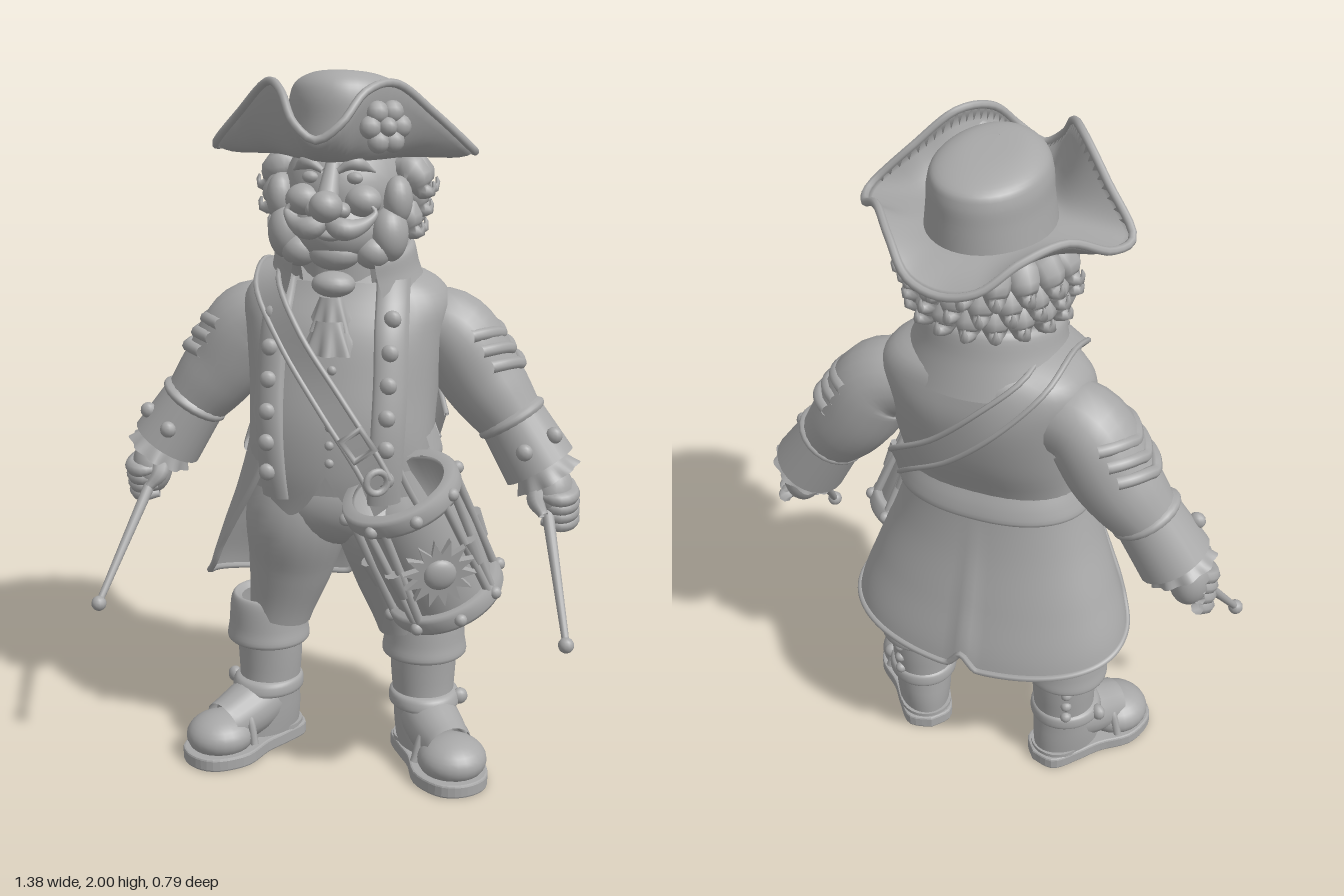
import * as THREE from 'three';
import { mergeVertices } from 'three/addons/utils/BufferGeometryUtils.js';
import { ParametricGeometry } from 'three/addons/geometries/ParametricGeometry.js';

const clay = new THREE.MeshStandardMaterial({ color: 0xa8a8a8, side: THREE.DoubleSide });
clay.name = 'clay grey';
const { sin, cos, PI, abs, sign, min, floor, max } = Math;
const V = (x, y, z) => new THREE.Vector3(x, y, z);

function add(parent, name, geo, pos = [0, 0, 0]) {
  const m = new THREE.Mesh(geo, clay);
  m.name = name;
  m.position.set(...pos);
  parent.add(m);
  return m;
}
function smooth(geo) {
  geo.deleteAttribute('uv');
  geo.deleteAttribute('normal');
  const g = mergeVertices(geo, 1e-5);
  g.computeVertexNormals();
  return g;
}
// surface from a rule (u, v) -> [x, y, z]
const surface = (fn, nu, nv) => smooth(new ParametricGeometry((u, v, t) => t.set(...fn(u, v)), nu, nv));
// ellipsoid, finer when large
function ball(parent, name, pos, scale) {
  const n = max(...scale) > 0.07 ? 24 : max(...scale) > 0.03 ? 18 : 12;
  add(parent, name, new THREE.SphereGeometry(1, n, n * 2 / 3), pos).scale.set(...scale);
}

// smooth interpolation through a list of rows
const cr = (a, b, c, d, t) => b + 0.5 * t * (c - a + t * (2 * a - 5 * b + 4 * c - d + t * (3 * (b - c) + d - a)));
function rowAt(rows, t) {
  const n = rows.length, f = t * (n - 1), i = min(floor(f), n - 2);
  const at = k => rows[max(0, min(n - 1, k))];
  return rows[0].map((_, k) => cr(at(i - 1)[k], at(i)[k], at(i + 1)[k], at(i + 2)[k], f - i));
}
// point on an oval section [y, halfWidth, zFront, zBack]; angle 0 faces front
function oval([y, w, zf, zb], a, p = 2) {
  const s = sin(a), c = cos(a), e = 2 / p;
  return [w * sign(s) * abs(s) ** e, y, (zf + zb) / 2 + (zf - zb) / 2 * sign(c) * abs(c) ** e];
}
const loft = (rows, gap = 0, p = 2, nv = 24) =>
  surface((u, v) => oval(rowAt(rows, v), gap + u * (2 * PI - 2 * gap), p), 40, nv);

// round limb along points with a list of radii
function limb(pts, radii, n = 20, sides = 12) {
  const curve = new THREE.CatmullRomCurve3(pts.map(p => V(...p)));
  const g = new THREE.TubeGeometry(curve, n, 1, sides);
  const pos = g.attributes.position, q = V(), c = V(), rr = radii.map(r => [r]);
  for (let i = 0; i <= n; i++) {
    curve.getPointAt(i / n, c);
    const r = radii.length > 1 ? max(0.0005, rowAt(rr, i / n)[0]) : radii[0];
    for (let j = 0; j <= sides; j++) {
      const k = i * (sides + 1) + j;
      q.fromBufferAttribute(pos, k).sub(c).multiplyScalar(r).add(c);
      pos.setXYZ(k, q.x, q.y, q.z);
    }
  }
  return smooth(g);
}
// tapered cylinder from a to b
function rod(parent, name, a, b, ra, rb, sides = 24) {
  const A = V(...a), B = V(...b), d = B.clone().sub(A);
  const m = add(parent, name, new THREE.CylinderGeometry(rb, ra, d.length(), sides), A.clone().add(B).multiplyScalar(0.5).toArray());
  m.quaternion.setFromUnitVectors(V(0, 1, 0), d.normalize());
}

function hat(g) {
  const crown = [[1.78, 0.165, 0.12, -0.26], [1.86, 0.155, 0.11, -0.258], [1.925, 0.15, 0.105, -0.255], [1.965, 0.132, 0.085, -0.235],
    [1.99, 0.08, 0.04, -0.15], [1.996, 0.001, -0.02, -0.022]];
  add(g, 'hatCrown', surface((u, v) => {
    const [x, y, z] = oval(rowAt(crown, v), u * 2 * PI);
    return [x, y + 0.16 * z * v, z];
  }, 40, 24));
  const half = [[0, 1.84, 0.28], [0.06, 1.88, 0.265], [0.11, 1.955, 0.2], [0.17, 1.97, 0.11], [0.26, 1.89, 0.04], [0.355, 1.79, -0.03],
    [0.33, 1.79, -0.11], [0.25, 1.84, -0.2], [0.17, 1.82, -0.3], [0.09, 1.76, -0.37], [0, 1.74, -0.385]];
  const edge = new THREE.CatmullRomCurve3([...half, ...half.slice(1, -1).reverse().map(([x, y, z]) => [-x, y, z])].map(p => V(...p)), true);
  add(g, 'hatBrim', surface((u, v) => {
    const e = edge.getPoint(u % 1), a = Math.atan2(e.x, e.z + 0.07), s = 1 - abs(v * 2 - 1);
    const [x, , z] = oval([0, 0.14, 0.1, -0.23], a);
    return [x + (e.x - x) * s, 1.79 + (e.y - 1.79) * s ** 2.2 - (v > 0.5 ? 0.022 * (1 - s ** 8) : 0), z + (e.z - z) * s];
  }, 100, 20));
  add(g, 'hatEdge', new THREE.TubeGeometry(edge, 100, 0.011, 8, true));
  const rosette = new THREE.Group();
  rosette.name = 'rosette';
  rosette.position.set(0.152, 1.865, 0.155);
  rosette.lookAt(0.8, 1.95, 1);
  for (let i = 0; i < 6; i++) ball(rosette, 'petal', [0.042 * cos(i * PI / 3), 0.042 * sin(i * PI / 3), 0], [0.03, 0.03, 0.025]);
  ball(rosette, 'rosetteButton', [0, 0, 0.012], [0.025, 0.025, 0.025]);
  g.add(rosette);
}

function head(g) {
  ball(g, 'skull', [0, 1.68, -0.07], [0.165, 0.165, 0.18]);
  ball(g, 'jaw', [0, 1.58, 0.01], [0.125, 0.1, 0.12]);
  ball(g, 'chin', [0, 1.52, 0.07], [0.07, 0.045, 0.05]);
  ball(g, 'lowerLip', [0, 1.577, 0.125], [0.035, 0.015, 0.02]);
  ball(g, 'nose', [0, 1.66, 0.175], [0.045, 0.042, 0.045]);
  add(g, 'noseBridge', limb([[0, 1.76, 0.09], [0, 1.71, 0.13], [0, 1.67, 0.16]], [0.02, 0.025, 0.03]));
  rod(g, 'neck', [0, 1.38, -0.08], [0, 1.6, -0.06], 0.13, 0.12);
  for (const s of [-1, 1]) {
    ball(g, 'nostril', [s * 0.037, 1.648, 0.15], [0.024, 0.022, 0.028]);
    ball(g, 'cheek', [s * 0.08, 1.665, 0.085], [0.05, 0.042, 0.045]);
    ball(g, 'eye', [s * 0.06, 1.725, 0.095], [0.022, 0.016, 0.014]);
    add(g, 'eyebrow', limb([[s * 0.02, 1.745, 0.12], [s * 0.06, 1.765, 0.11], [s * 0.11, 1.74, 0.07]], [0.008, 0.018, 0.003]));
    add(g, 'moustache', limb([[0, 1.625, 0.16], [s * 0.045, 1.602, 0.172], [s * 0.09, 1.61, 0.145], [s * 0.12, 1.64, 0.115], [s * 0.105, 1.66, 0.115]],
      [0.018, 0.03, 0.023, 0.012, 0.004]));
    ball(g, 'whisker', [s * 0.14, 1.57, 0.03], [0.052, 0.075, 0.062]);
    ball(g, 'whiskerTop', [s * 0.16, 1.66, 0.015], [0.04, 0.065, 0.05]);
    ball(g, 'whiskerBase', [s * 0.1, 1.525, 0.055], [0.05, 0.045, 0.045]);
  }
  // curled locks in rings round the sides and back
  for (let r = 0; r < 3; r++) for (let i = 0; i < 10; i++) {
    const a = 1.45 + (i + (r % 2) * 0.5) * (2 * PI - 2.9) / 9.5, y = 1.715 - r * 0.055, k = 1 - r * 0.06;
    const p = (d, h) => [sin(a) * (0.185 + d) * k, y + h, -0.07 + cos(a) * (0.185 + d) * k];
    add(g, 'hairCurl', limb([p(-0.05, 0.02), p(0.01, 0.01), p(0.03, -0.035), p(0.065, -0.035), p(0.062, -0.01)],
      [0.025, 0.045, 0.037, 0.018, 0.003], 12, 8));
  }
}

const frontZ = (x, y) => rowAt([[0.17], [0.19], [0.19], [0.165], [0.13], [0.06]], max(0, min(1, (y - 0.8) / 0.65)))[0] - 1.2 * x * x;

function coat(g) {
  add(g, 'coatBody', loft([[0.86, 0.265, 0.15, -0.18], [1, 0.26, 0.165, -0.2], [1.14, 0.265, 0.15, -0.255], [1.28, 0.28, 0.12, -0.285],
    [1.37, 0.29, 0.08, -0.28], [1.43, 0.245, 0.05, -0.26], [1.47, 0.15, 0.01, -0.2]], 0, 2.4));
  const hem = u => 0.46 + 0.1 * abs(2 * u - 1) ** 1.6 + 0.04 * abs(2 * u - 1) ** 16 + 0.05 * Math.exp(-(((u - 0.5) / 0.012) ** 2));
  const skirt = (u, v) => {
    const row = rowAt([[0, 0.258, 0.16, -0.195], [0, 0.3, 0.16, -0.22], [0, 0.36, 0.15, -0.265], [0, 0.41, 0.14, -0.31]], v);
    const gap = 0.66 + 0.42 * v, [x, , z] = oval(row, gap + u * (2 * PI - 2 * gap), 2.2);
    return [x, 1.01 + (hem(u) - 1.01) * v, z];
  };
  add(g, 'coatSkirt', surface(skirt, 100, 20));
  const rim = [];
  for (let i = 0; i <= 8; i++) rim.push(V(...skirt(0, i / 8)));
  for (let i = 1; i < 100; i++) rim.push(V(...skirt(i / 100, 1)));
  for (let i = 8; i >= 0; i--) rim.push(V(...skirt(1, i / 8)));
  add(g, 'skirtHem', new THREE.TubeGeometry(new THREE.CatmullRomCurve3(rim), 180, 0.01, 6));
  add(g, 'waistSeam', loft([[1.03, 0.258, 0.16, -0.21], [0.99, 0.272, 0.165, -0.225], [0.95, 0.282, 0.165, -0.23], [0.94, 0.26, 0.16, -0.2]], 1.25, 2.3, 12));
  // stand collar: inside, folded top, then flaring on to the shoulders; last column lifts the back
  const collar = [[1.42, 0.165, 0.05, -0.2, 0], [1.49, 0.165, 0.1, -0.215, 0.06], [1.495, 0.19, 0.12, -0.245, 0.06], [1.45, 0.205, 0.115, -0.262, 0.03], [1.385, 0.24, 0.11, -0.29, 0]];
  add(g, 'collar', surface((u, v) => {
    const a = 0.62 + u * (2 * PI - 1.24), row = rowAt(collar, v), [x, y, z] = oval(row, a);
    return [x, y + row[4] * (1 - cos(a)) / 2, z];
  }, 40, 20));
  // waistcoat with two points at the bottom
  add(g, 'waistcoat', surface((u, v) => {
    const x = (u * 2 - 1) * 0.165, low = 0.93 - 0.13 * sin(min(1, abs(x) / 0.115) * PI / 2) + max(0, abs(x) - 0.115) * 0.8;
    const y = 1.44 + (low - 1.44) * v;
    return [x, y, frontZ(x, y)];
  }, 30, 24));
  for (let i = 0; i < 6; i++) ball(g, 'waistcoatButton', [0.012, 1.22 - i * 0.05, frontZ(0, 1.22 - i * 0.05)], [0.013, 0.013, 0.01]);
  for (const s of [-1, 1]) {
    add(g, 'lapel', surface((u, v) => {
      const x = 0.115 + u * 0.09, y = 1.45 - v * 0.6;
      return [s * (x + 0.015 * sin(v * PI) - 0.01), y, frontZ(x, y) - 0.008 + 0.028 * abs(sin(u * PI)) ** 0.4];
    }, 16, 20));
    for (let i = 0; i < 6; i++) {
      const y = 1.355 - i * 0.085;
      ball(g, 'coatButton', [s * 0.165, y, frontZ(0.165, y) + 0.022], [0.024, 0.024, 0.017]);
    }
  }
  // ruffled neckcloth
  ball(g, 'neckclothKnot', [0, 1.44, 0.085], [0.06, 0.035, 0.05]);
  for (const [y, w, z] of [[1.41, 0.065, 0.105], [1.35, 0.075, 0.13]])
    add(g, 'neckclothFrill', surface((u, v) => {
      const a = (u * 2 - 1) * 1.5, k = 0.5 + 0.5 * v, r = 1 + 0.14 * v * cos(a * 8);
      return [sin(a) * w * k * r, y - 0.09 * v, z + 0.045 * cos(a) * k * r];
    }, 40, 6));
}

function arm(g, s) {
  const P = (x, y, z) => [s * x, y, z];
  add(g, 'sleeve', limb([P(0.18, 1.3, -0.13), P(0.285, 1.28, -0.135), P(0.375, 1.15, -0.14), P(0.5, 0.99, -0.125)], [0.1, 0.12, 0.112, 0.085], 24, 20));
  // three chevrons wrapped round the upper sleeve
  for (let i = 0; i < 3; i++) {
    const pts = [];
    for (let k = -4; k <= 4; k++) {
      const a = k * 0.25, down = 0.045 + i * 0.05 - abs(k) * 0.011, r = 0.117;
      pts.push(P(0.305 + down * 0.56 + cos(a) * r * 0.83, 1.25 - down * 0.83 + cos(a) * r * 0.56, -0.138 + sin(a) * r));
    }
    add(g, 'chevron', limb(pts, [0.018], 24, 8));
  }
  rod(g, 'cuff', P(0.46, 1.045, -0.128), P(0.55, 0.905, -0.118), 0.094, 0.106);
  add(g, 'cuffRim', limb([P(0.455, 1.053, -0.128), P(0.475, 1.022, -0.126)], [0.09, 0.102, 0.102, 0.09], 6, 24));
  ball(g, 'cuffButton', P(0.515, 0.97, -0.02), [0.024, 0.024, 0.02]);
  ball(g, 'cuffButton', P(0.59, 1.01, -0.07), [0.024, 0.024, 0.02]);
  add(g, 'wristRuffle', surface((u, v) => {
    const a = u * 2 * PI, r = (0.07 + 0.027 * v) * (1 + 0.06 * v * cos(a * 9));
    return [cos(a) * r, -0.05 * v, sin(a) * r * 0.95];
  }, 72, 4), P(0.55, 0.915, -0.113)).rotation.z = s * 0.55;
  // fist round the stick
  ball(g, 'hand', P(0.592, 0.835, -0.095), [0.058, 0.085, 0.07]);
  for (let i = 0; i < 4; i++) {
    const y = 0.85 - i * 0.028, z = -0.042 - i * 0.01;
    add(g, 'finger', limb([P(0.632, y + 0.01, z - 0.075), P(0.647, y - 0.01, z - 0.03), P(0.612, y - 0.015, z + 0.01), P(0.565, y - 0.01, z)],
      [0.02, 0.022, 0.021, 0.012], 12, 8));
  }
  add(g, 'thumb', limb([P(0.56, 0.87, -0.075), P(0.55, 0.83, -0.035), P(0.575, 0.795, -0.01)], [0.022, 0.026, 0.014], 12, 8));
  rod(g, 'drumstick', P(0.57, 0.84, -0.08), P(0.663, 0.515, 0.185), 0.018, 0.01, 14);
  ball(g, 'drumstickTip', P(0.666, 0.503, 0.195), [0.022, 0.022, 0.022]);
}

function leg(g, s) {
  const P = (x, y, z) => [s * x, y, z];
  add(g, 'breeches', limb([P(0.11, 0.92, -0.03), P(0.13, 0.76, -0.03), P(0.155, 0.6, -0.05), P(0.195, 0.42, -0.055)], [0.13, 0.15, 0.125, 0.092], 20, 20));
  const boot = new THREE.Group();
  boot.name = 'boot';
  boot.position.set(s * 0.235, 0, -0.075);
  boot.rotation.y = s * 0.6;
  g.add(boot);
  add(boot, 'bootCuff', loft([[0.46, 0.08, 0.08, -0.08], [0.475, 0.1, 0.1, -0.098], [0.45, 0.112, 0.112, -0.108], [0.38, 0.118, 0.118, -0.115],
    [0.335, 0.122, 0.122, -0.118], [0.33, 0.09, 0.09, -0.09]]));
  add(boot, 'bootShaft', loft([[0.36, 0.098, 0.095, -0.098], [0.28, 0.095, 0.09, -0.098], [0.19, 0.088, 0.09, -0.093], [0.1, 0.083, 0.11, -0.098],
    [0.03, 0.075, 0.12, -0.095]], 0, 2, 12));
  add(boot, 'ankleStrap', loft([[0.215, 0.085, 0.085, -0.088], [0.205, 0.1, 0.105, -0.1], [0.175, 0.102, 0.115, -0.102], [0.165, 0.085, 0.1, -0.088]], 0, 2, 12));
  add(boot, 'instep', limb([[0, 0.15, 0], [0, 0.118, 0.09], [0, 0.095, 0.18]], [0.083, 0.083, 0.072], 12, 20));
  ball(boot, 'toeCap', [0.005 * s, 0.07, 0.19], [0.1, 0.066, 0.102]);
  add(boot, 'toeSeam', limb([[-0.092, 0.05, 0.14], [-0.06, 0.13, 0.135], [0, 0.15, 0.13], [0.06, 0.13, 0.135], [0.092, 0.05, 0.14]], [0.012], 20, 8));
  const outline = [[0, -0.108], [0.062, -0.08], [0.075, 0], [0.08, 0.08], [0.104, 0.18], [0.07, 0.272], [0, 0.3],
    [-0.07, 0.272], [-0.104, 0.18], [-0.08, 0.08], [-0.075, 0], [-0.062, -0.08], [0, -0.108]].map(p => new THREE.Vector2(...p));
  const sole = new THREE.Shape().moveTo(0, -0.108).splineThru(outline.slice(1));
  add(boot, 'sole', new THREE.ExtrudeGeometry(sole, { depth: 0.028, bevelSize: 0.006, bevelThickness: 0.006, bevelSegments: 2, curveSegments: 4 }),
    [0, 0.034, 0]).rotation.x = PI / 2;
  add(boot, 'heel', new THREE.CylinderGeometry(0.078, 0.078, 0.05, 24), [0, 0.026, -0.025]);
  for (let i = 0; i < 3; i++) ball(boot, 'bootButton', [s * 0.078, 0.31 - i * 0.045, -0.05], [0.017, 0.017, 0.017]);
  ball(boot, 'strapButton', [s * 0.09, 0.19, 0.06], [0.025, 0.025, 0.02]);
}

function drum(g) {
  const top = V(0.21, 0.93, 0.23), low = V(0.33, 0.59, 0.12), d = new THREE.Group();
  d.name = 'drum';
  d.position.copy(top).add(low).multiplyScalar(0.5);
  d.quaternion.setFromUnitVectors(V(0, 1, 0), top.clone().sub(low).normalize());
  g.add(d);
  const lathe = (name, pts) => add(d, name, new THREE.LatheGeometry(pts.map(p => new THREE.Vector2(...p)), 48));
  lathe('drumShell', [[0.001, -0.175], [0.13, -0.175], [0.14, -0.17], [0.146, 0], [0.14, 0.185], [0.127, 0.185], [0.127, 0.04], [0.001, 0.04]]);
  for (const y of [-0.168, 0.168])
    lathe('drumHoop', [[0.13, y - 0.027], [0.158, y - 0.027], [0.165, y - 0.015], [0.165, y + 0.015], [0.158, y + 0.027], [0.13, y + 0.027]]);
  const at = (a, r, y) => [sin(a) * r, y, cos(a) * r];
  const dir = V(0.05, 0, 0.135).applyQuaternion(d.quaternion.clone().invert());
  const sunAngle = Math.atan2(dir.x, dir.z);
  // rope tension pairs, leaving room for the sunburst
  for (let i = 0; i < 8; i++) {
    const a = sunAngle + i * PI / 4;
    for (const y of [-0.168, 0.168]) ball(d, 'hoopKnot', at(a, 0.164, y), [0.018, 0.018, 0.018]);
    if (i === 0) continue;
    for (const k of [-0.17, 0.17]) rod(d, 'drumRope', at(a + k, 0.152, 0.15), at(a + k * 0.35, 0.152, -0.15), 0.012, 0.012, 8);
    rod(d, 'ropeSlide', at(a, 0.15, 0.02), at(a, 0.15, -0.06), 0.028, 0.02, 12);
  }
  // sunburst on the front of the shell
  const rays = [];
  for (let i = 0; i < 28; i++) {
    const r = i % 2 ? 0.06 : 0.1;
    rays.push(new THREE.Vector2(r * cos(i * PI / 14), r * sin(i * PI / 14)));
  }
  const sun = new THREE.Group();
  sun.name = 'sunburst';
  sun.position.set(...at(sunAngle, 0.134, -0.015));
  sun.rotation.y = sunAngle;
  add(sun, 'sunRays', new THREE.ExtrudeGeometry(new THREE.Shape(rays), { depth: 0.022, bevelEnabled: false }));
  ball(sun, 'sunDisc', [0, 0, 0.02], [0.045, 0.045, 0.022]);
  d.add(sun);
}

function strap(g) {
  // centre line and half-width vector of the band, from the drum round the back and over the shoulder
  const rows = [[0.27, 1.0, -0.13, 0.01, 0.035, 0], [0.2, 1.1, -0.235, 0.02, 0.03, 0], [0.06, 1.2, -0.283, 0.024, 0.028, 0], [-0.08, 1.33, -0.29, 0.026, 0.026, 0],
    [-0.18, 1.43, -0.23, 0.03, 0.012, 0], [-0.2, 1.475, -0.09, 0.035, 0.005, 0], [-0.19, 1.43, 0.06, 0.034, 0.014, 0.01], [-0.1, 1.3, 0.165, 0.029, 0.02, 0.01],
    [0.02, 1.14, 0.215, 0.029, 0.02, 0], [0.12, 1.0, 0.235, 0.029, 0.02, 0], [0.16, 0.93, 0.235, 0.029, 0.02, 0]];
  add(g, 'shoulderStrap', surface((u, v) => {
    const [x, y, z, a, b, c] = rowAt(rows, v), k = u * 2 - 1;
    return [x + a * k, y + b * k, z + c * k];
  }, 4, 40));
  for (const k of [-1, 1]) add(g, 'strapEdge', limb(rows.map(([x, y, z, a, b, c]) => [x + a * k, y + b * k, z + c * k]), [0.008], 50, 6));
  add(g, 'strapBuckle', new THREE.TorusGeometry(0.046, 0.011, 8, 4), [0.1, 1.04, 0.238]).rotation.z = 0.62 + PI / 4;
  add(g, 'drumHook', new THREE.TorusGeometry(0.03, 0.01, 8, 20), [0.155, 0.945, 0.25]).rotation.y = 0.6;
}

export function createModel() {
  const g = new THREE.Group();
  g.name = 'drummer';
  hat(g);
  head(g);
  coat(g);
  ball(g, 'hips', [0, 0.82, -0.02], [0.23, 0.15, 0.15]);
  for (const s of [-1, 1]) {
    arm(g, s);
    leg(g, s);
  }
  drum(g);
  strap(g);
  return g;
}
